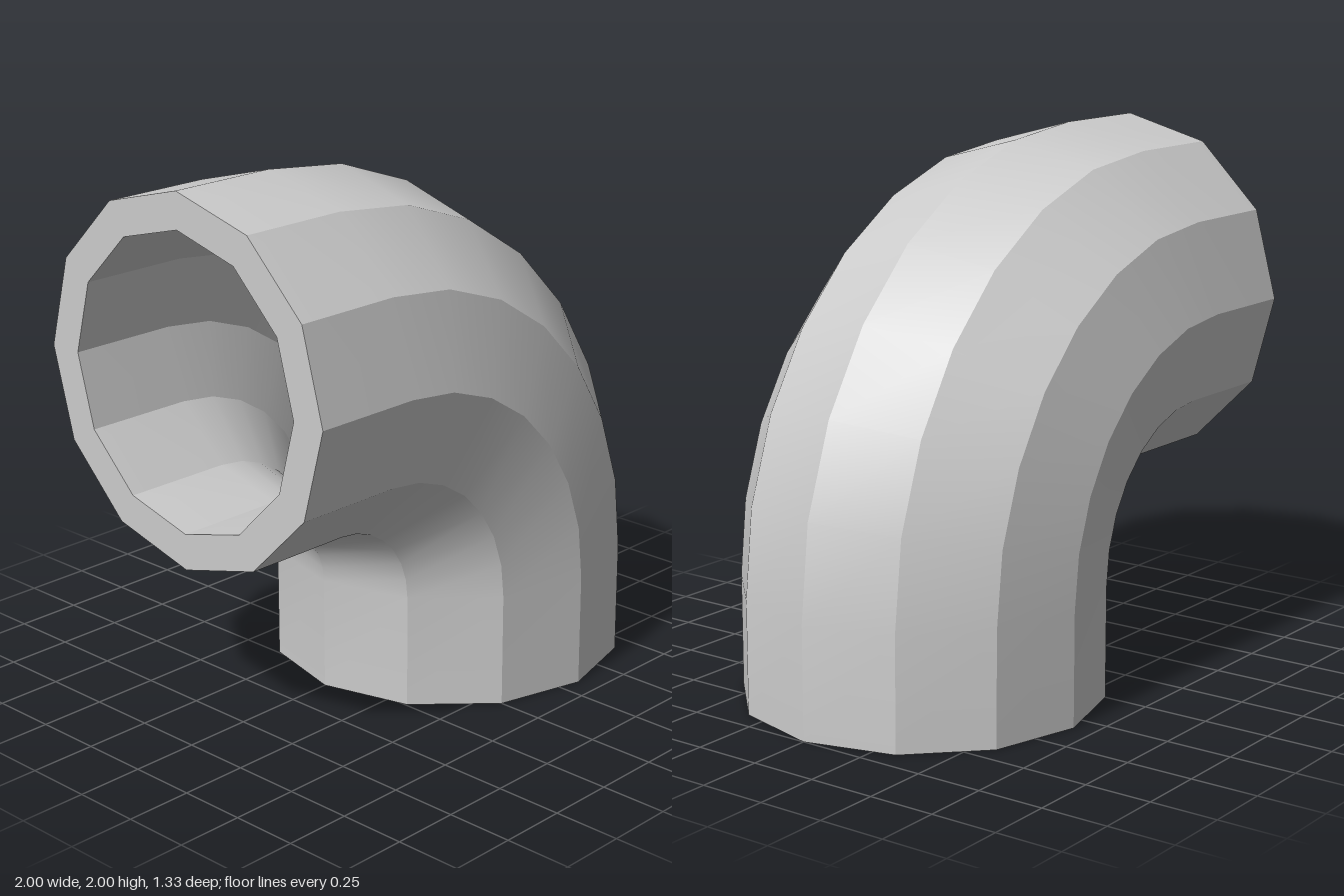
import * as THREE from 'three';
import { toCreasedNormals } from 'three/addons/utils/BufferGeometryUtils.js';

const SIDES = 12, BEND_STEPS = 7;
const OUTER = 2 / 3, INNER = 0.535;
const CENTRE_X = -0.58, CENTRE_Y = 0.42, BEND = 0.913;

// Centre line stations: straight end, quarter bend, straight end
function stations() {
  const list = [{ x: 1 / 3, y: 0, angle: 0 }];
  for (let i = 0; i <= BEND_STEPS; i++) {
    const angle = (i / BEND_STEPS) * Math.PI / 2;
    list.push({
      x: CENTRE_X + BEND * Math.cos(angle),
      y: CENTRE_Y + BEND * Math.sin(angle),
      angle,
    });
  }
  list.push({ x: -1, y: 4 / 3, angle: Math.PI / 2 });
  return list;
}

// Hollow pipe: rings go along the outside, back through the bore, and close at the first rim
function pipeGeometry() {
  const path = stations();
  const rings = [
    ...path.map((s) => ({ ...s, r: OUTER })),
    ...path.slice().reverse().map((s) => ({ ...s, r: INNER })),
  ];
  const positions = [], index = [];
  for (const { x, y, angle, r } of rings) {
    for (let j = 0; j < SIDES; j++) {
      const a = (j / SIDES) * Math.PI * 2;
      const out = r * Math.cos(a);
      positions.push(x + out * Math.cos(angle), y + out * Math.sin(angle), r * Math.sin(a));
    }
  }
  for (let i = 0; i < rings.length; i++) {
    const n = (i + 1) % rings.length;
    for (let j = 0; j < SIDES; j++) {
      const k = (j + 1) % SIDES;
      const a = i * SIDES + j, b = n * SIDES + j, c = n * SIDES + k, d = i * SIDES + k;
      index.push(a, b, d, b, c, d);
    }
  }
  const geometry = new THREE.BufferGeometry();
  geometry.setAttribute('position', new THREE.Float32BufferAttribute(positions, 3));
  geometry.setIndex(index);
  // Smooth along the bend, sharp between the twelve sides
  return toCreasedNormals(geometry, THREE.MathUtils.degToRad(20));
}

export function createModel() {
  const group = new THREE.Group();
  group.name = 'pipeElbow';
  const elbow = new THREE.Mesh(pipeGeometry(), new THREE.MeshStandardMaterial({ color: 0xcccccc }));
  elbow.name = 'elbowPipe';
  group.add(elbow);
  return group;
}
